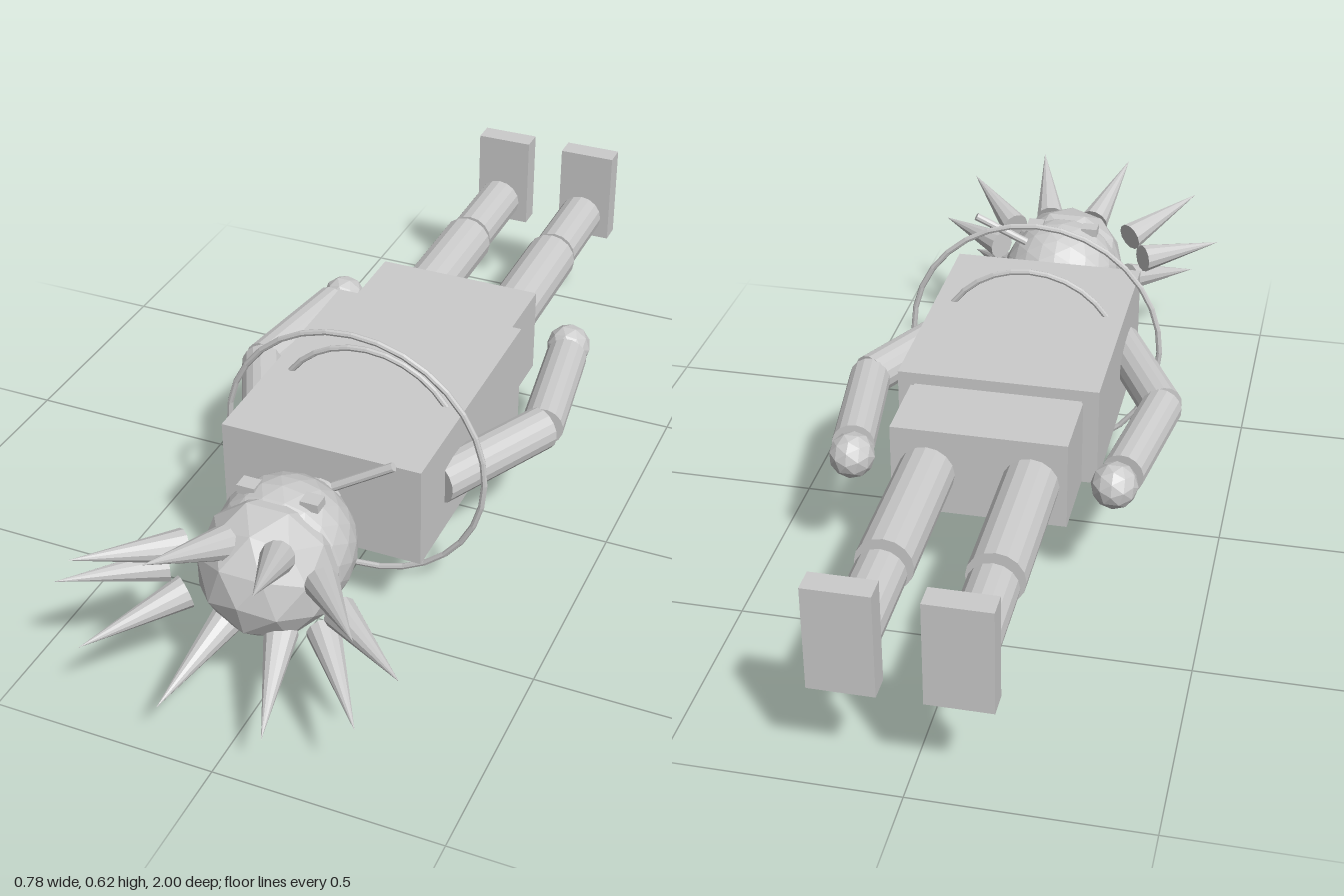
import * as THREE from 'three';

const material = new THREE.MeshStandardMaterial({ color: 0xcccccc, flatShading: true });
const CY = 0.314; // height of the body's long axis

export function createModel() {
  const group = new THREE.Group();

  const add = (name, geometry, x = 0, y = CY, z = 0) => {
    const mesh = new THREE.Mesh(geometry, material);
    mesh.name = name;
    mesh.position.set(x, y, z);
    group.add(mesh);
    return mesh;
  };
  const box = (name, w, h, d, x, y, z) => add(name, new THREE.BoxGeometry(w, h, d), x, y, z);

  // cylinder or cone running from point a to point b
  const rod = (name, a, b, rA, rB = rA, sides = 16) => {
    const start = new THREE.Vector3(...a), end = new THREE.Vector3(...b);
    const axis = end.clone().sub(start);
    const mesh = add(name, new THREE.CylinderGeometry(rB, rA, axis.length(), sides));
    mesh.position.copy(start).add(end).multiplyScalar(0.5);
    mesh.quaternion.setFromUnitVectors(new THREE.Vector3(0, 1, 0), axis.normalize());
    return mesh;
  };

  // faceted ball with a vertex pointing along +z
  const ball = (name, r, detail, x, y, z) => {
    const geometry = new THREE.IcosahedronGeometry(r, detail);
    geometry.rotateX(Math.atan(2 / (1 + Math.sqrt(5))));
    return add(name, geometry, x, y, z);
  };

  // trunk, lying on its back
  box('torso', 0.456, 0.237, 0.6, 0, 0.322, 0.167);
  box('waist', 0.38, 0.195, 0.03, 0, 0.316, -0.14);
  box('hips', 0.39, 0.205, 0.182, 0, 0.316, -0.239);
  rod('neck', [0, CY, 0.44], [0, CY, 0.56], 0.05);

  // head and hair cap
  ball('head', 0.15, 3, 0, CY, 0.64);
  ball('hairCap', 0.15, 1, 0, CY, 0.71);
  rod('mouthStick', [0.08, 0.438, 0.572], [0.203, 0.507, 0.55], 0.01, 0.01, 10);

  // hair spikes on an oval ring
  for (let i = 0; i < 10; i++) {
    const a = (i * Math.PI) / 5, c = Math.cos(a), s = Math.sin(a);
    const tipZ = 0.925 + 0.079 * Math.abs(s);
    rod('hairSpike', [0.19 * c, CY + 0.1 * s, 0.788], [0.373 * c, CY + 0.19 * s, tipZ], 0.036, 0, 12);
  }

  // rings around the chest
  add('largeRing', new THREE.TorusGeometry(0.304, 0.007, 8, 32), 0, CY, 0.296);
  add('smallRing', new THREE.TorusGeometry(0.222, 0.007, 8, 32), 0, CY, 0.22);

  for (const side of [-1, 1]) {
    const label = (part) => (side > 0 ? 'left' : 'right') + part;

    box(label('Eye'), 0.04, 0.02, 0.035, side * 0.07, 0.449, 0.65);

    // arm
    rod(label('UpperArm'), [side * 0.207, CY, 0.322], [side * 0.345, CY, 0.047], 0.049);
    rod(label('Forearm'), [side * 0.345, CY, 0.043], [side * 0.302, CY, -0.252], 0.048);
    ball(label('Hand'), 0.052, 1, side * 0.292, CY, -0.297);

    // leg
    const x = side * 0.115;
    rod(label('Thigh'), [x, CY, -0.31], [x, CY, -0.68], 0.063);
    rod(label('Shin'), [x, CY, -0.703], [x, CY, -0.92], 0.055);
    box(label('Foot'), 0.138, 0.234, 0.053, x, 0.361, -0.9735);
  }

  return group;
}
